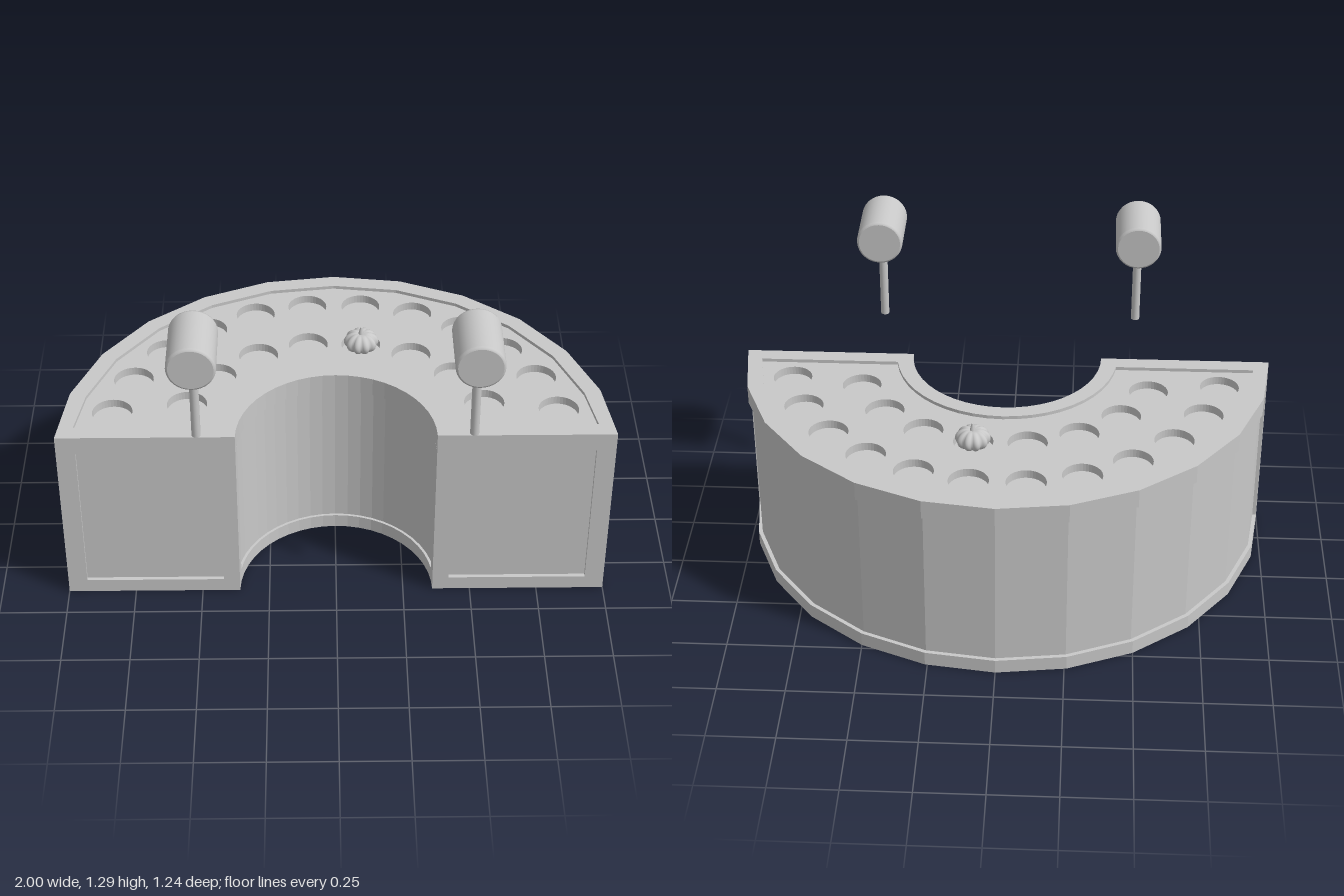
import * as THREE from 'three';

const CZ = 0.385; // arc centre, also the front plane
const paint = new THREE.MeshStandardMaterial({ color: 0xc8c8c8 });
paint.name = 'plain grey';

// Half-ring outline (shape y = -z), its straight ends cut off at z = front
function halfRing(outer, inner, front, Target = THREE.Shape) {
  const pts = [];
  const arc = (r, n, from, to) => {
    for (let i = 0; i <= n; i++) {
      const a = from + (to - from) * i / n;
      pts.push(new THREE.Vector2(r * Math.cos(a), Math.max(r * Math.sin(a) - CZ, -front)));
    }
  };
  arc(outer, 12, 0, Math.PI);
  arc(inner, 24, Math.PI, 0);
  return new Target(pts);
}

export function createModel() {
  const model = new THREE.Group();
  model.name = 'arcadeTable';

  const add = (name, geometry, parent = model) => {
    const mesh = new THREE.Mesh(geometry, paint);
    mesh.name = name;
    parent.add(mesh);
    return mesh;
  };
  const slab = (name, shape, y0, y1) => {
    const g = new THREE.ExtrudeGeometry(shape, { depth: y1 - y0, bevelEnabled: false, curveSegments: 20 });
    g.rotateX(-Math.PI / 2);
    g.translate(0, y0, 0);
    return add(name, g);
  };

  // Cabinet: plinth, recessed walls and upper rim
  slab('plinth', halfRing(1, 0.36, CZ), 0, 0.055);
  slab('recessedWalls', halfRing(0.985, 0.37, 0.37), 0.055, 0.662);
  slab('upperRim', halfRing(1, 0.36, CZ), 0.662, 0.69);

  // Corner posts framing the wall panels
  for (const s of [1, -1]) {
    const posts = {
      outerPost: [[1, 0.385], [0.993, 0.33], [0.93, 0.33], [0.93, 0.385]],
      innerPost: [[0.42, 0.385], [0.42, 0.33], [0.356, 0.33], [0.36, 0.385]],
    };
    for (const [name, pts] of Object.entries(posts)) {
      slab(name, new THREE.Shape(pts.map(([x, z]) => new THREE.Vector2(s * x, -z))), 0.055, 0.662);
    }
  }

  // Table top with two curved rows of round wells
  const top = halfRing(1, 0.36, CZ);
  const row = (count, r, first, step) => {
    for (let i = 0; i < count; i++) {
      const a = THREE.MathUtils.degToRad(first + step * i);
      const hole = new THREE.Path();
      hole.absarc(r * Math.cos(a), r * Math.sin(a) - CZ, 0.073, 0, Math.PI * 2, true);
      top.holes.push(hole);
    }
  };
  row(12, 0.823, 11.6, 14.255);
  row(8, 0.578, 21.2, 16.8 + 2.857);
  slab('tableTop', top, 0.69, 0.722);

  // Raised border round the table top
  const border = halfRing(1, 0.36, CZ);
  border.holes.push(halfRing(0.938, 0.42, 0.325, THREE.Path));
  slab('topBorder', border, 0.722, 0.735);

  // Ribbed pumpkin popping out of one well
  const pumpkin = new THREE.Group();
  pumpkin.name = 'pumpkin';
  pumpkin.position.set(0.1, 0.738, -0.184);
  const body = new THREE.SphereGeometry(1, 60, 20);
  const p = body.attributes.position;
  for (let i = 0; i < p.count; i++) {
    const x = p.getX(i), y = p.getY(i), z = p.getZ(i);
    const rib = 0.82 + 0.18 * Math.abs(Math.cos(5 * Math.atan2(z, x)));
    const dip = 0.22 * Math.exp(-10 * (x * x + z * z));
    p.setXYZ(i, x * rib * 0.065, (y - Math.sign(y) * dip) * 0.042 * (0.9 + 0.1 * rib), z * rib * 0.065);
  }
  body.computeVertexNormals();
  add('pumpkinBody', body, pumpkin);
  add('pumpkinStem', new THREE.CylinderGeometry(0.004, 0.013, 0.036, 8), pumpkin).position.y = 0.044;
  model.add(pumpkin);

  // Two floating mallets with softly rounded heads
  const profile = [[0, -0.115], [0.077, -0.115], [0.077, -0.115], [0.083, -0.112], [0.085, -0.105],
    [0.085, -0.105], [0.085, 0.105], [0.085, 0.105], [0.083, 0.112], [0.077, 0.115], [0.077, 0.115], [0, 0.115]]
    .map(([r, y]) => new THREE.Vector2(r, y));
  for (const [name, x] of [['leftMallet', 0.478], ['rightMallet', -0.487]]) {
    const mallet = new THREE.Group();
    mallet.name = name;
    mallet.position.set(x, 1.21, 0.508);
    // Lathe the cap, edge and side pieces separately to keep their edges crisp
    for (const [part, a, b] of [['headBack', 0, 2], ['headBackEdge', 2, 5], ['headSide', 5, 7],
      ['headFrontEdge', 7, 10], ['headFront', 10, 12]]) {
      const head = new THREE.LatheGeometry(profile.slice(a, b).filter((v, i, l) => !i || !v.equals(l[i - 1])), 32);
      add(part, head.rotateX(Math.PI / 2), mallet);
    }
    add('handle', new THREE.CylinderGeometry(0.016, 0.016, 0.3, 16), mallet).position.y = -0.215;
    model.add(mallet);
  }
  return model;
}
